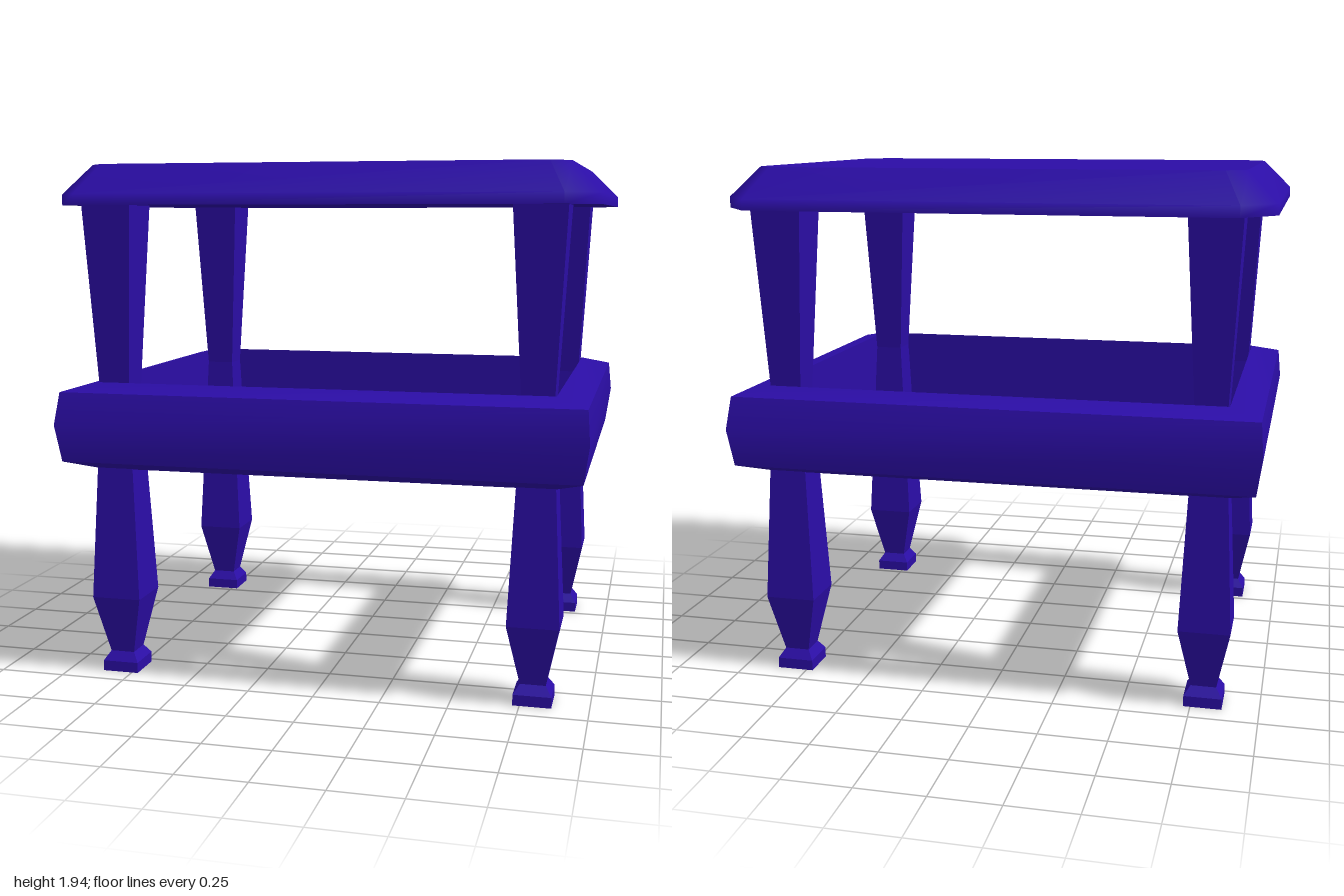
import * as THREE from 'three';
import { toCreasedNormals } from 'three/addons/utils/BufferGeometryUtils.js';

const material = new THREE.MeshStandardMaterial({ color: 0x2b0da6 });
const flatMaterial = material.clone();
flatMaterial.flatShading = true;

// Rectangle outline at height y, half sizes hx and hz, with optional cut corners
function outline(y, hx, hz, cx = 0, cz = 0) {
  const points = [];
  for (const [sx, sz] of [[1, -1], [-1, -1], [-1, 1], [1, 1]]) {
    const a = [sx * hx, y, sz * (hz - cz)];
    const b = [sx * (hx - cx), y, sz * hz];
    if (!cx) points.push(a);
    else points.push(...(sx * sz < 0 ? [a, b] : [b, a]));
  }
  return points;
}

// Joins outlines into walls; caps get their own corners so their edges stay sharp
function loft(rings, capped) {
  const n = rings[0].length;
  const positions = rings.flat(2);
  const index = [];
  for (let i = 0; i < rings.length - 1; i++) {
    for (let j = 0; j < n; j++) {
      const a = i * n + j, b = i * n + (j + 1) % n;
      index.push(a, b, b + n, a, b + n, a + n);
    }
  }
  if (capped) {
    const bottom = positions.length / 3, top = bottom + n;
    positions.push(...rings[0].flat(), ...rings[rings.length - 1].flat());
    for (let j = 1; j < n - 1; j++) {
      index.push(bottom, bottom + j + 1, bottom + j, top, top + j, top + j + 1);
    }
  }
  const geometry = new THREE.BufferGeometry();
  geometry.setAttribute('position', new THREE.Float32BufferAttribute(positions, 3));
  geometry.setIndex(index);
  geometry.computeVertexNormals();
  return geometry;
}

function addMesh(group, name, geometry, mat) {
  const mesh = new THREE.Mesh(geometry, mat);
  mesh.name = name;
  group.add(mesh);
  return mesh;
}

export function createModel() {
  const model = new THREE.Group();
  model.name = 'sideTable';

  // Table top with cut corners and a sloping rim
  addMesh(model, 'tableTop', loft([
    outline(1.79, 1, 0.78, 0.12, 0.16),
    outline(1.83, 1, 0.78, 0.12, 0.16),
    outline(1.94, 0.89, 0.66, 0.07, 0.08),
  ], true), material);

  // Hollow rail frame around the legs: up the outside, down the inside
  const rail = [
    [0.8, 0.86, 0.655], [0.84, 0.965, 0.76], [0.98, 0.985, 0.78],
    [1.1, 0.975, 0.745], [1.13, 0.86, 0.655], [0.8, 0.86, 0.655],
  ].map(([y, hx, hz]) => outline(y, hx, hz));
  addMesh(model, 'railFrame', toCreasedNormals(loft(rail, false), 0.5), material);

  // Square tapered legs with small flared feet
  const leg = loft([
    [0, 0.07], [0.04, 0.07], [0.075, 0.047], [0.3, 0.095], [1.08, 0.057], [1.79, 0.095],
  ].map(([y, h]) => outline(y, h, h)), true);
  for (const [sz, end] of [[1, 'front'], [-1, 'back']]) {
    for (const [sx, side] of [[1, 'Left'], [-1, 'Right']]) {
      addMesh(model, `${end}${side}Leg`, leg, flatMaterial).position.set(sx * 0.795, 0, sz * 0.595);
    }
  }
  return model;
}
